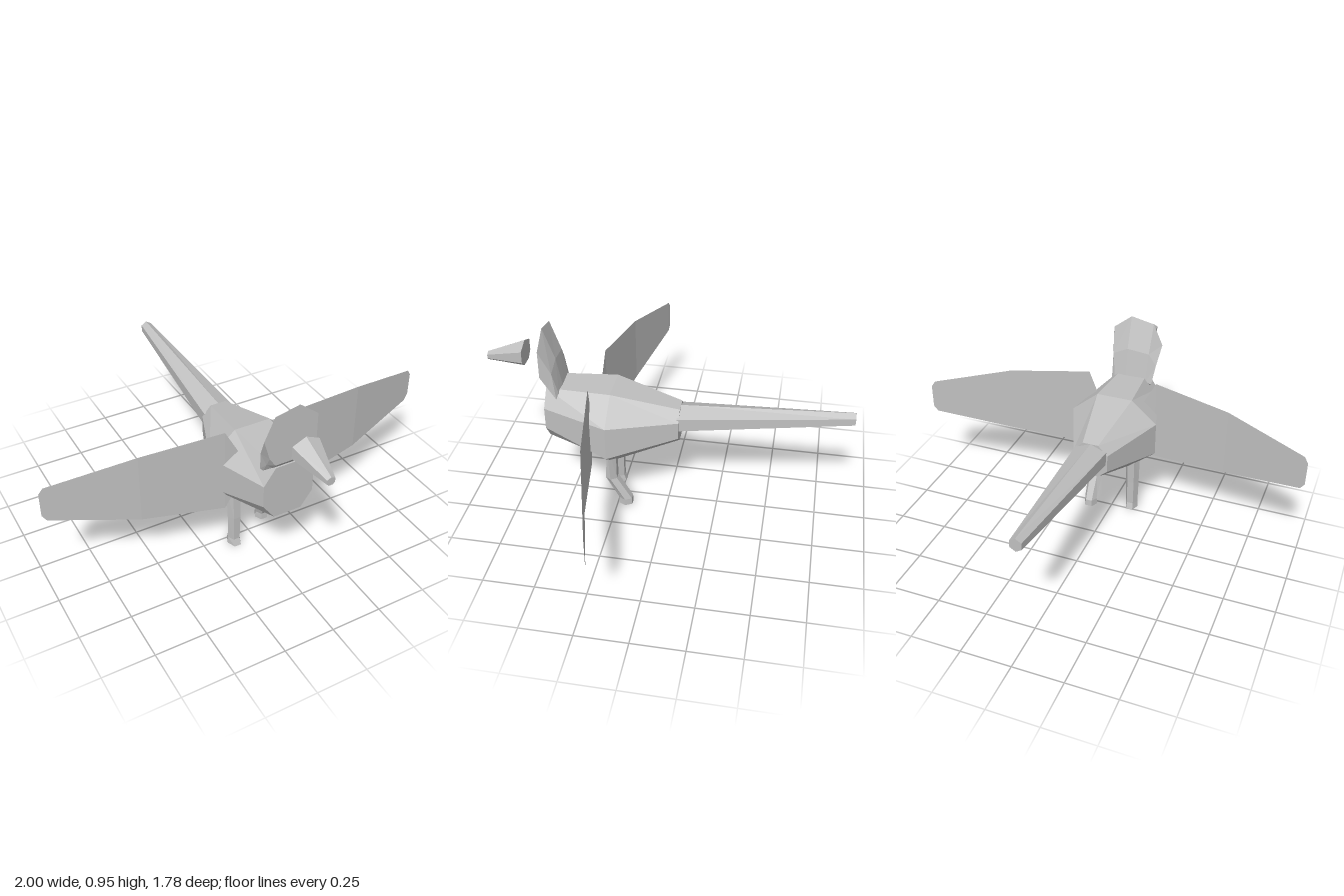
import * as THREE from 'three';

const grey = new THREE.MeshStandardMaterial({ color: 0xc0c0c0, flatShading: true });
grey.name = 'grey';
const wingGrey = new THREE.MeshStandardMaterial({ color: 0xc0c0c0, flatShading: true, side: THREE.DoubleSide });
wingGrey.name = 'wing grey';

// Closed solid skinned over rings of [x, y, z] points, with capped ends
function loft(name, rings) {
  const tris = [];
  const n = rings[0].length;
  for (let r = 0; r < rings.length - 1; r++) {
    for (let i = 0; i < n; i++) {
      const j = (i + 1) % n;
      const a = rings[r][i], b = rings[r][j], c = rings[r + 1][j], d = rings[r + 1][i];
      tris.push([a, b, c], [a, c, d]);
    }
  }
  const first = rings[0], last = rings[rings.length - 1];
  for (let i = 1; i < n - 1; i++) {
    tris.push([first[0], first[i + 1], first[i]], [last[0], last[i], last[i + 1]]);
  }
  // Turn every face outward using the signed volume
  const vec = (p) => new THREE.Vector3(...p);
  let volume = 0;
  for (const [a, b, c] of tris) volume += vec(a).sub(vec(first[0])).dot(
    vec(b).sub(vec(first[0])).cross(vec(c).sub(vec(first[0]))));
  if (volume < 0) tris.forEach((t) => t.reverse());
  return mesh(name, tris, grey);
}

function mesh(name, tris, material) {
  const geometry = new THREE.BufferGeometry();
  geometry.setAttribute('position', new THREE.Float32BufferAttribute(tris.flat(2), 3));
  geometry.computeVertexNormals();
  const m = new THREE.Mesh(geometry, material);
  m.name = name;
  return m;
}

// Eight-sided body section: outer and inner half widths, four heights
const octagon = (z, w, i, [y0, y1, y2, y3]) => [
  [i, y3, z], [w, y2, z], [w, y1, z], [i, y0, z],
  [-i, y0, z], [-w, y1, z], [-w, y2, z], [-i, y3, z],
];

// Six-sided upright section with a point at top and bottom
const tailRing = (z, y, w, h) => [
  [0, y + h, z], [w, y + h / 2, z], [w, y - h / 2, z],
  [0, y - h, z], [-w, y - h / 2, z], [-w, y + h / 2, z],
];

// Beak section with a ridged top and a flat base
const beakRing = (z, w, [y0, y1, y2, y3]) => [
  [0, y3, z], [w, y2, z], [w, y1, z], [w / 2, y0, z],
  [-w / 2, y0, z], [-w, y1, z], [-w, y2, z],
];

// Leg with horizontal six-sided sections: [y, front z, back z, half width]
function leg(name, x, sections) {
  return loft(name, sections.map(([y, zf, zb, w]) => {
    const zc = (zf + zb) / 2;
    return [[x - w / 2, y, zf], [x + w / 2, y, zf], [x + w, y, zc],
      [x + w / 2, y, zb], [x - w / 2, y, zb], [x - w, y, zc]];
  }));
}

// Thin swept wing, made of strips between columns [x, z, bottom, top]
function wing(name, side, rootX) {
  const columns = [
    [0.12, 0.362, 0.42, 0.6], [rootX, 0.355, 0.3, 0.73], [0.58, 0.285, 0.34, 0.69],
    [0.98, 0.175, 0.42, 0.6], [1, 0.17, 0.45, 0.57],
  ];
  const tris = [];
  for (let i = 0; i < columns.length - 1; i++) {
    const [x0, z0, b0, t0] = columns[i], [x1, z1, b1, t1] = columns[i + 1];
    const a = [side * x0, b0, z0], b = [side * x1, b1, z1];
    const c = [side * x1, t1, z1], d = [side * x0, t0, z0];
    if (side > 0) tris.push([a, b, c], [a, c, d]);
    else tris.push([a, c, b], [a, d, c]);
  }
  return mesh(name, tris, wingGrey);
}

export function createModel() {
  const bird = new THREE.Group();
  bird.name = 'bird';

  // Body and tail
  bird.add(loft('body', [
    octagon(0.59, 0.128, 0.07, [0.375, 0.455, 0.567, 0.65]),
    octagon(0.27, 0.224, 0.092, [0.268, 0.375, 0.548, 0.66]),
    octagon(-0.06, 0.087, 0.04, [0.4, 0.44, 0.53, 0.58]),
  ]));
  bird.add(loft('tail', [
    tailRing(-0.05, 0.512, 0.08, 0.068),
    tailRing(-0.89, 0.598, 0.028, 0.034),
  ]));

  // Head: flat face in front tapering back and down to the neck
  const face = [[-0.09, 0.93], [0.03, 0.955], [0.125, 0.88], [0.125, 0.74],
    [0.06, 0.675], [-0.08, 0.675], [-0.11, 0.72], [-0.14, 0.82]].map(([x, y]) => [x, y, 0.6]);
  const neck = [[-0.08, 0.635, 0.52], [0.03, 0.635, 0.515], [0.09, 0.63, 0.52], [0.11, 0.615, 0.53],
    [0.06, 0.6, 0.545], [-0.06, 0.6, 0.545], [-0.1, 0.61, 0.535], [-0.11, 0.62, 0.525]];
  const middle = face.map((p, i) => p.map((v, k) =>
    (v + neck[i][k]) / 2 - (k === 2 && p[1] > 0.8 ? 0.014 : 0)));
  bird.add(loft('head', [face, middle, neck]));

  // Beak, set ahead of the face
  bird.add(loft('beak', [
    beakRing(0.7, 0.067, [0.745, 0.775, 0.835, 0.865]),
    beakRing(0.89, 0.02, [0.745, 0.755, 0.775, 0.785]),
  ]));

  // Wings
  bird.add(wing('leftWing', 1, 0.168), wing('rightWing', -1, 0.19));

  // Right leg stands straight, left leg is bent back
  bird.add(leg('rightLeg', -0.102, [
    [0.34, 0.31, 0.25, 0.04], [0.17, 0.318, 0.255, 0.035],
    [0.035, 0.315, 0.255, 0.032], [0, 0.328, 0.245, 0.034],
  ]));
  bird.add(leg('leftLeg', 0.102, [
    [0.34, 0.29, 0.245, 0.04], [0.18, 0.302, 0.245, 0.037],
    [0.055, 0.235, 0.172, 0.033], [0.02, 0.237, 0.17, 0.034],
  ]));

  return bird;
}
